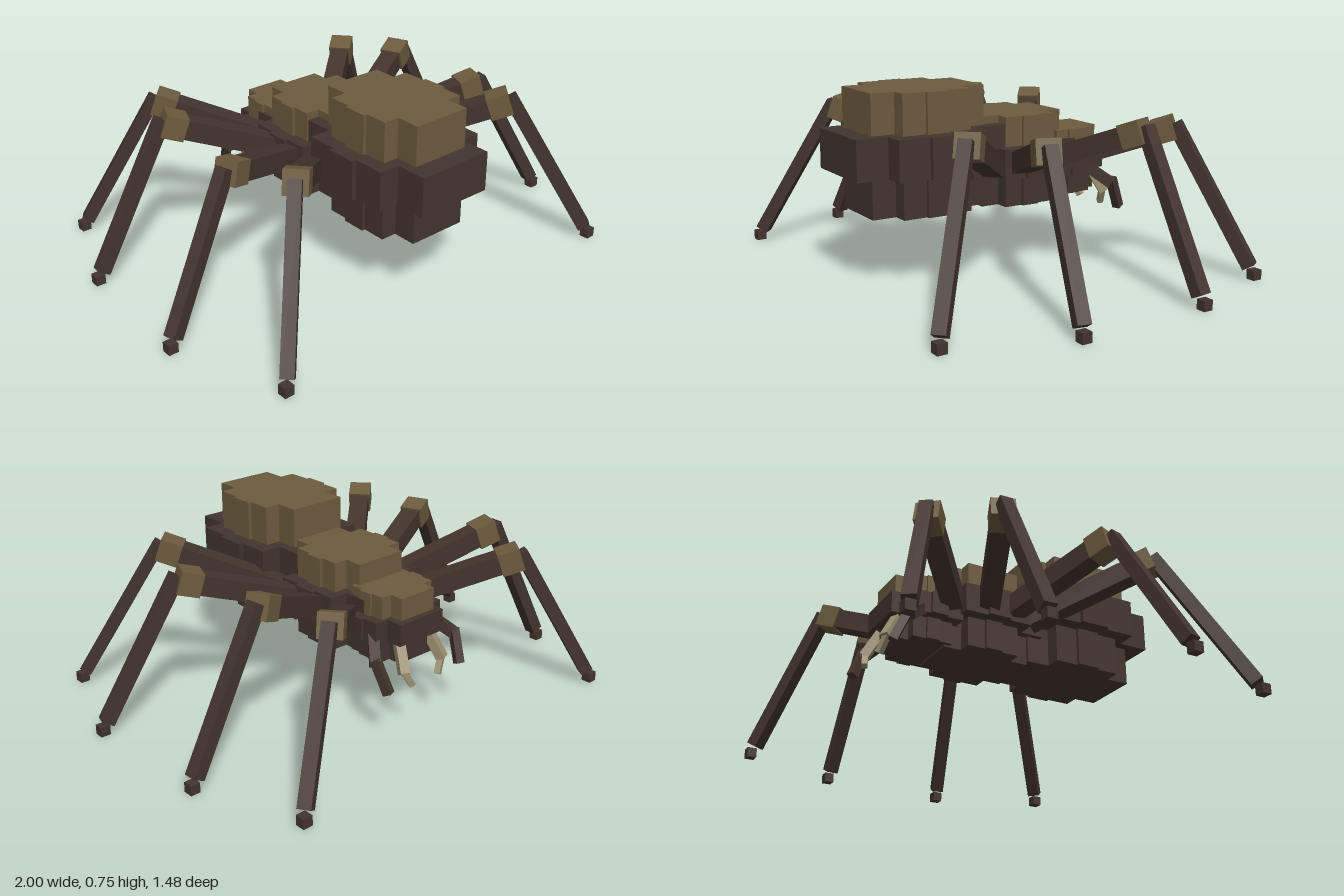
import * as THREE from 'three';

const std = (name, color) => Object.assign(new THREE.MeshStandardMaterial({ color }), { name });

export function createModel() {
  const dark = std('dark brown', 0x43342d);
  const tan = std('tan', 0x6c5b3e);
  const pale = std('pale horn', 0x9a8f70);
  const model = new THREE.Group();
  model.name = 'spider';

  // Flat slab with a stepped, roughly oval outline of five equal bands
  const steps = [0.61, 0.93, 1, 0.93, 0.61];
  function slab(name, mat, half, z0, z1, y0, y1) {
    const right = [], left = [];
    steps.forEach((f, i) => {
      for (const k of [i, i + 1]) {
        const z = z0 + (z1 - z0) * k / 5;
        right.push(new THREE.Vector2(half * f, -z));
        left.unshift(new THREE.Vector2(-half * f, -z));
      }
    });
    const geo = new THREE.ExtrudeGeometry(new THREE.Shape([...right, ...left]),
      { depth: y1 - y0, bevelEnabled: false });
    geo.rotateX(-Math.PI / 2);
    const mesh = new THREE.Mesh(geo, mat);
    mesh.position.y = y0;
    mesh.name = name;
    model.add(mesh);
  }

  // Square bar running from point a to point b
  function bar(parent, name, mat, a, b, size) {
    const p = new THREE.Vector3(...a), q = new THREE.Vector3(...b);
    const mesh = new THREE.Mesh(new THREE.BoxGeometry(size, size, p.distanceTo(q)), mat);
    mesh.position.copy(p).lerp(q, 0.5);
    mesh.lookAt(q);
    mesh.name = name;
    parent.add(mesh);
  }

  // Body: each section is a belly, a wider middle and a tan back
  slab('abdomenBelly', dark, 0.205, 0.122, 0.61, 0.275, 0.435);
  slab('abdomenMiddle', dark, 0.27, 0.04, 0.69, 0.435, 0.595);
  slab('abdomenBack', tan, 0.205, 0.122, 0.61, 0.595, 0.755);
  slab('thoraxBelly', dark, 0.185, -0.252, 0.122, 0.262, 0.385);
  slab('thoraxMiddle', dark, 0.238, -0.31, 0.18, 0.385, 0.505);
  slab('thoraxBack', tan, 0.185, -0.252, 0.122, 0.505, 0.625);
  slab('headBelly', dark, 0.14, -0.45, -0.17, 0.27, 0.36);
  slab('headMiddle', dark, 0.187, -0.48, -0.13, 0.36, 0.45);
  slab('headBack', tan, 0.142, -0.455, -0.17, 0.45, 0.54);

  // Legs: hip, knee, foot (right side is mirrored)
  const legs = [
    { hip: [0.17, 0.43, -0.24], knee: [0.475, 0.57, -0.5], foot: [0.79, -0.715] },
    { hip: [0.2, 0.44, -0.1], knee: [0.59, 0.595, -0.26], foot: [0.955, -0.3] },
    { hip: [0.2, 0.44, 0.0], knee: [0.615, 0.57, 0.165], foot: [0.98, 0.262] },
    { hip: [0.17, 0.43, 0.1], knee: [0.52, 0.6, 0.425], foot: [0.81, 0.715] },
  ];
  for (const s of [1, -1]) {
    const side = s > 0 ? 'left' : 'right';
    const m = ([x, y, z]) => [x * s, y, z];
    legs.forEach(({ hip, knee, foot }, i) => {
      const leg = new THREE.Group();
      leg.name = `${side}Leg${i + 1}`;
      const dir = new THREE.Vector3(...knee).sub(new THREE.Vector3(...hip)).normalize();
      const along = t => [knee[0] + dir.x * t, knee[1] + dir.y * t, knee[2] + dir.z * t];
      bar(leg, 'upperLeg', dark, m(hip), m(along(-0.02)), 0.08);
      bar(leg, 'knee', tan, m(along(-0.045)), m(along(0.045)), 0.095);
      const top = along(0.045);
      bar(leg, 'lowerLeg', dark, m([top[0], knee[1] + 0.03, top[2]]),
        m([foot[0] - 0.015, 0.05, foot[1] * 0.985]), 0.052);
      const tip = new THREE.Mesh(new THREE.BoxGeometry(0.04, 0.04, 0.04), dark);
      tip.position.set(foot[0] * s, 0.02, foot[1]);
      tip.name = 'foot';
      leg.add(tip);
      model.add(leg);
    });

    // Mouth parts
    bar(model, side + 'FeelerBase', dark, m([0.15, 0.38, -0.37]), m([0.215, 0.31, -0.45]), 0.042);
    bar(model, side + 'FeelerTip', dark, m([0.215, 0.33, -0.45]), m([0.195, 0.2, -0.505]), 0.034);
    bar(model, side + 'FangBase', pale, m([0.08, 0.35, -0.44]), m([0.105, 0.25, -0.495]), 0.038);
    bar(model, side + 'FangTip', pale, m([0.105, 0.26, -0.49]), m([0.07, 0.195, -0.505]), 0.024);
  }
  return model;
}
